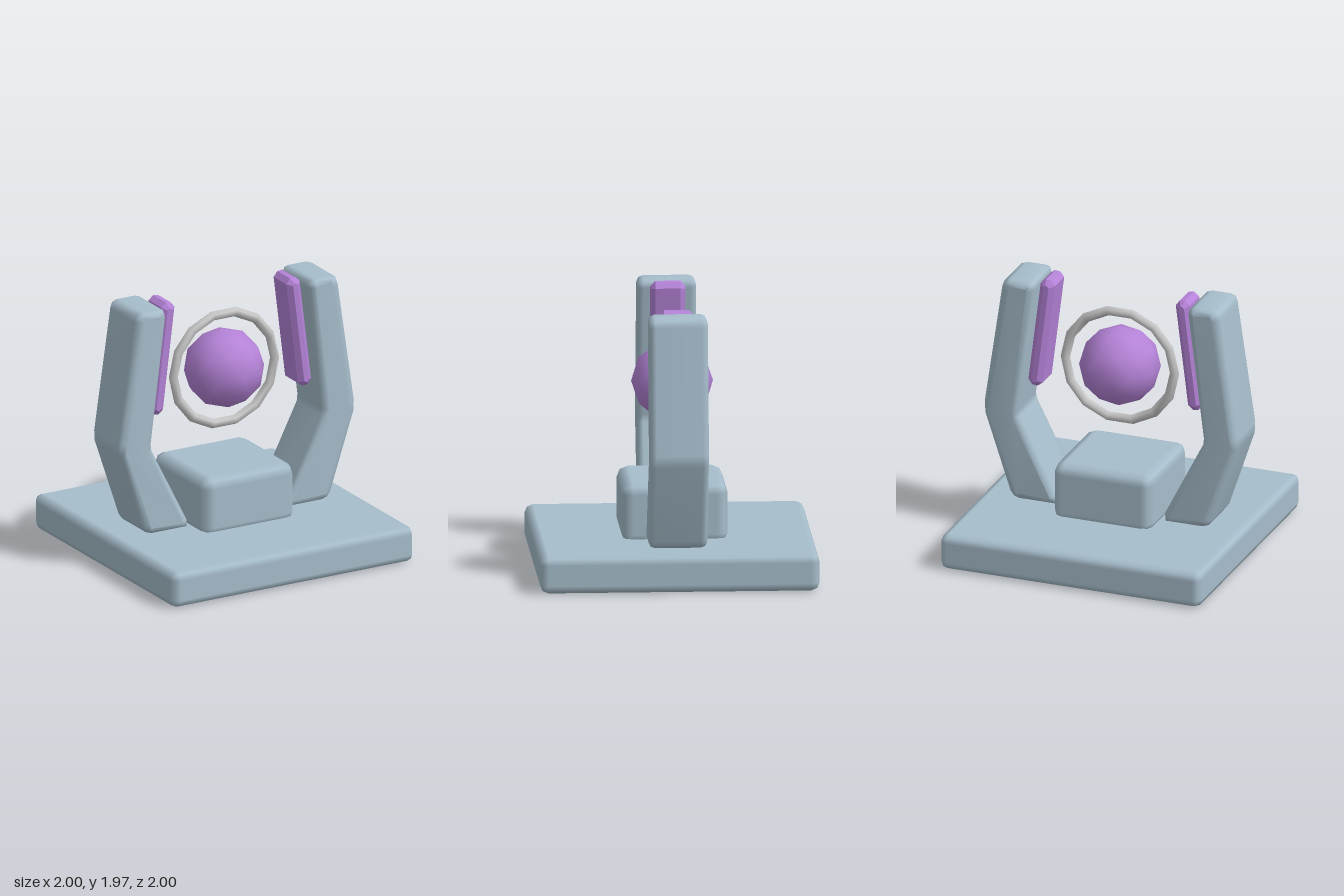
import * as THREE from 'three';
import { mergeVertices } from 'three/addons/utils/BufferGeometryUtils.js';
import { RoundedBoxGeometry } from 'three/addons/geometries/RoundedBoxGeometry.js';

const material = (name, color) => {
  const m = new THREE.MeshStandardMaterial({ color });
  m.name = name;
  return m;
};

// Bevelled plate from an outline in x/y, centred on z = 0
function bevelledPlate(points, depth, bevel, segments) {
  const shape = new THREE.Shape(points.map(([x, y]) => new THREE.Vector2(x, y)));
  const geo = new THREE.ExtrudeGeometry(shape, {
    depth: depth - 2 * bevel, bevelEnabled: true, bevelThickness: bevel,
    bevelSize: bevel, bevelOffset: -bevel, bevelSegments: segments,
  });
  return geo.translate(0, 0, bevel - depth / 2);
}

// Welded, area-weighted normals keep the large faces flat and the bevels soft
function soften(geo) {
  geo.deleteAttribute('normal');
  geo.deleteAttribute('uv');
  const welded = mergeVertices(geo, 1e-4);
  welded.computeVertexNormals();
  return welded;
}

export function createModel() {
  const model = new THREE.Group();
  const stone = material('blue grey', 0xa6bdcb);
  const crystal = material('purple', 0xb583d8);
  const metal = material('light grey', 0xc9c9c9);

  const add = (name, geo, mat, x = 0, y = 0, z = 0) => {
    const mesh = new THREE.Mesh(geo, mat);
    mesh.name = name;
    mesh.position.set(x, y, z);
    model.add(mesh);
    return mesh;
  };

  // Base slab and central pedestal
  add('base', new RoundedBoxGeometry(2, 0.27, 2, 1, 0.06), stone, 0, 0.135, 0);
  add('pedestal', new RoundedBoxGeometry(0.76, 0.45, 0.76, 1, 0.08), stone, 0, 0.447, 0);

  // Bent arm outline for the +x side
  const arm = [
    [0.41, 0.33], [0.415, 0.272], [0.7, 0.272], [0.745, 0.288], [0.775, 0.33],
    [0.968, 0.91], [0.972, 0.99], [0.838, 1.9], [0.822, 1.945], [0.775, 1.963],
    [0.64, 1.963], [0.602, 1.948], [0.59, 1.905], [0.709, 0.96], [0.704, 0.91],
  ];

  // Chamfered panel outline
  const w = 0.055, h = 0.42, c = 0.035;
  const panel = [
    [w, h - c], [w - c, h], [c - w, h], [-w, h - c],
    [-w, c - h], [c - w, -h], [w - c, -h], [w, c - h],
  ];

  for (const [side, s] of [['left', 1], ['right', -1]]) {
    const outline = arm.map(([x, y]) => [s * x, y]);
    add(side + 'Arm', soften(bevelledPlate(outline, 0.42, 0.045, 2)), stone);
    const plate = add(side + 'Panel', bevelledPlate(panel, 0.25, c, 1), crystal, s * 0.565, 1.55, 0);
    plate.rotation.z = s * 0.124;
  }

  // Floating orb, one vertex pointing straight up
  const orb = new THREE.IcosahedronGeometry(0.293, 1);
  orb.rotateZ(-0.5536);
  add('orb', orb, crystal, 0, 1.352, 0);

  // Ring around the orb
  add('ring', new THREE.TorusGeometry(0.419, 0.036, 6, 14), metal, 0, 1.35, 0);

  return model;
}
